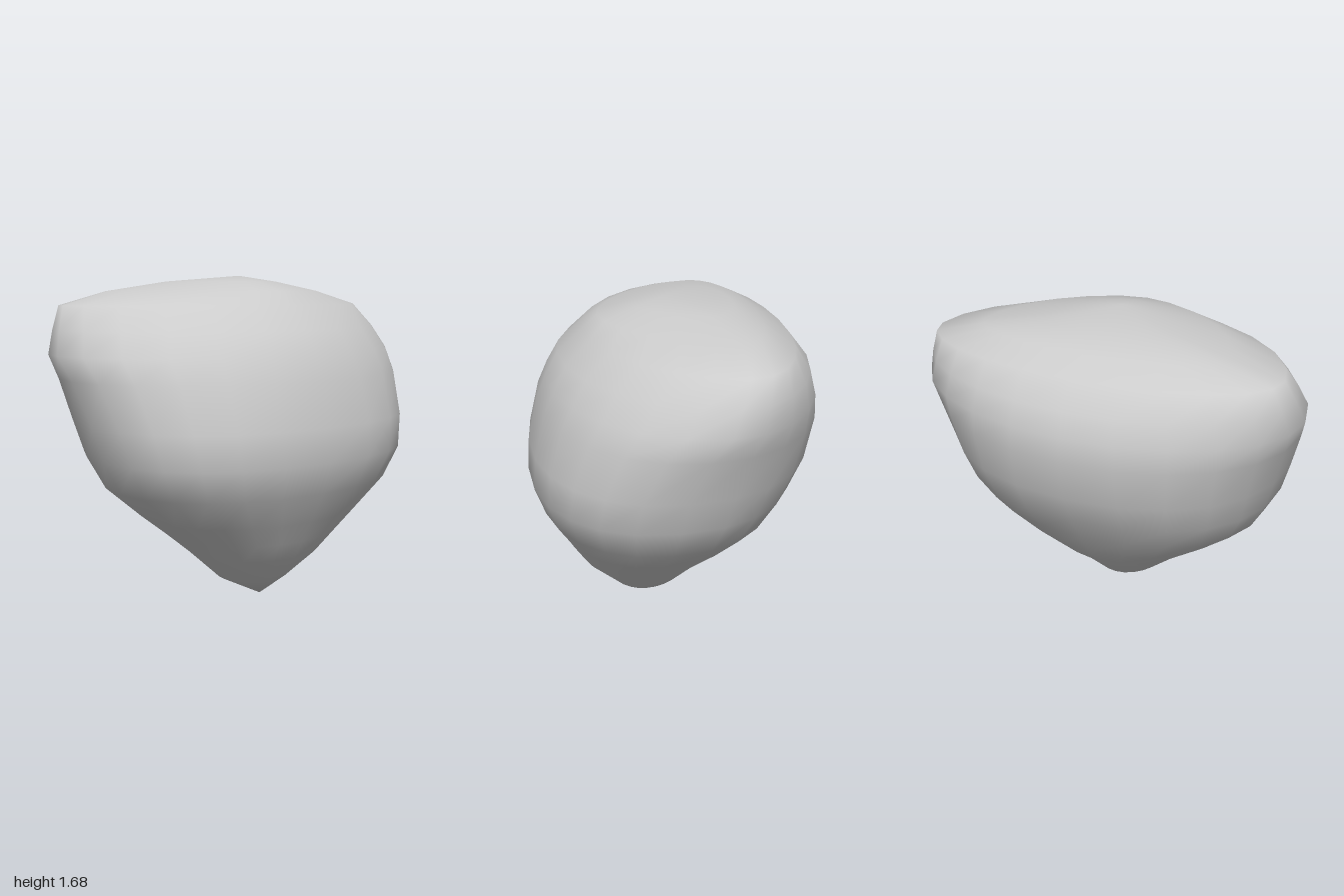
import * as THREE from 'three';

// Horizontal cross-sections: height, front z, back z, half width,
// z of widest point, front roundness, back roundness
const SECTIONS = [
  [0.10, 0.32, -0.07, 0.20, 0.15, 1.9, 1.9],
  [0.25, 0.48, -0.21, 0.36, 0.14, 2, 2],
  [0.35, 0.54, -0.32, 0.475, 0.13, 2.1, 2.05],
  [0.46, 0.60, -0.41, 0.61, 0.12, 2.15, 2.15],
  [0.62, 0.69, -0.52, 0.79, 0.10, 2.25, 2.25],
  [0.78, 0.745, -0.62, 0.87, 0.08, 2.35, 2.25],
  [0.95, 0.735, -0.70, 0.915, 0.05, 2.3, 2.2],
  [1.17, 0.685, -0.74, 0.97, -0.03, 2.1, 2.1],
  [1.29, 0.635, -0.725, 1.0, -0.12, 2, 2.02],
  [1.41, 0.57, -0.69, 0.96, -0.17, 1.9, 2],
  [1.53, 0.44, -0.59, 0.91, -0.22, 1.8, 2.1],
  [1.60, 0.36, -0.45, 0.645, -0.23, 1.7, 2.15],
  [1.65, 0.18, -0.33, 0.32, -0.16, 1.75, 2.1],
];
const SIDES = 24;

const signedPow = (v, p) => Math.sign(v) * Math.abs(v) ** p;

function stoneGeometry() {
  const positions = [];
  const index = [];

  // Rings of super-elliptic outline, with separate front and back halves
  for (const [y, front, back, width, zWide, nFront, nBack] of SECTIONS) {
    for (let i = 0; i < SIDES; i++) {
      const a = (i / SIDES) * Math.PI * 2;
      const isFront = Math.cos(a) > 0;
      const p = 2 / (isFront ? nFront : nBack);
      const depth = isFront ? front - zWide : zWide - back;
      positions.push(
        width * signedPow(Math.sin(a), p),
        y,
        zWide + depth * signedPow(Math.cos(a), p),
      );
    }
  }
  const bottom = SECTIONS.length * SIDES;
  const top = bottom + 1;
  positions.push(0, 0, 0.2, 0, 1.68, 0.02);

  // Skin between rings, closed at the lower tip and the crown
  const last = (SECTIONS.length - 1) * SIDES;
  for (let i = 0; i < SIDES; i++) {
    const j = (i + 1) % SIDES;
    for (let r = 0; r < last; r += SIDES) {
      index.push(r + i, r + j, r + SIDES + j, r + i, r + SIDES + j, r + SIDES + i);
    }
    index.push(bottom, j, i, top, last + i, last + j);
  }

  const geometry = new THREE.BufferGeometry();
  geometry.setAttribute('position', new THREE.Float32BufferAttribute(positions, 3));
  geometry.setIndex(index);
  geometry.computeVertexNormals();
  return geometry;
}

export function createModel() {
  const group = new THREE.Group();
  group.name = 'stone';
  const body = new THREE.Mesh(stoneGeometry(), new THREE.MeshStandardMaterial({ color: 0xcccccc }));
  body.name = 'stoneBody';
  group.add(body);
  return group;
}
